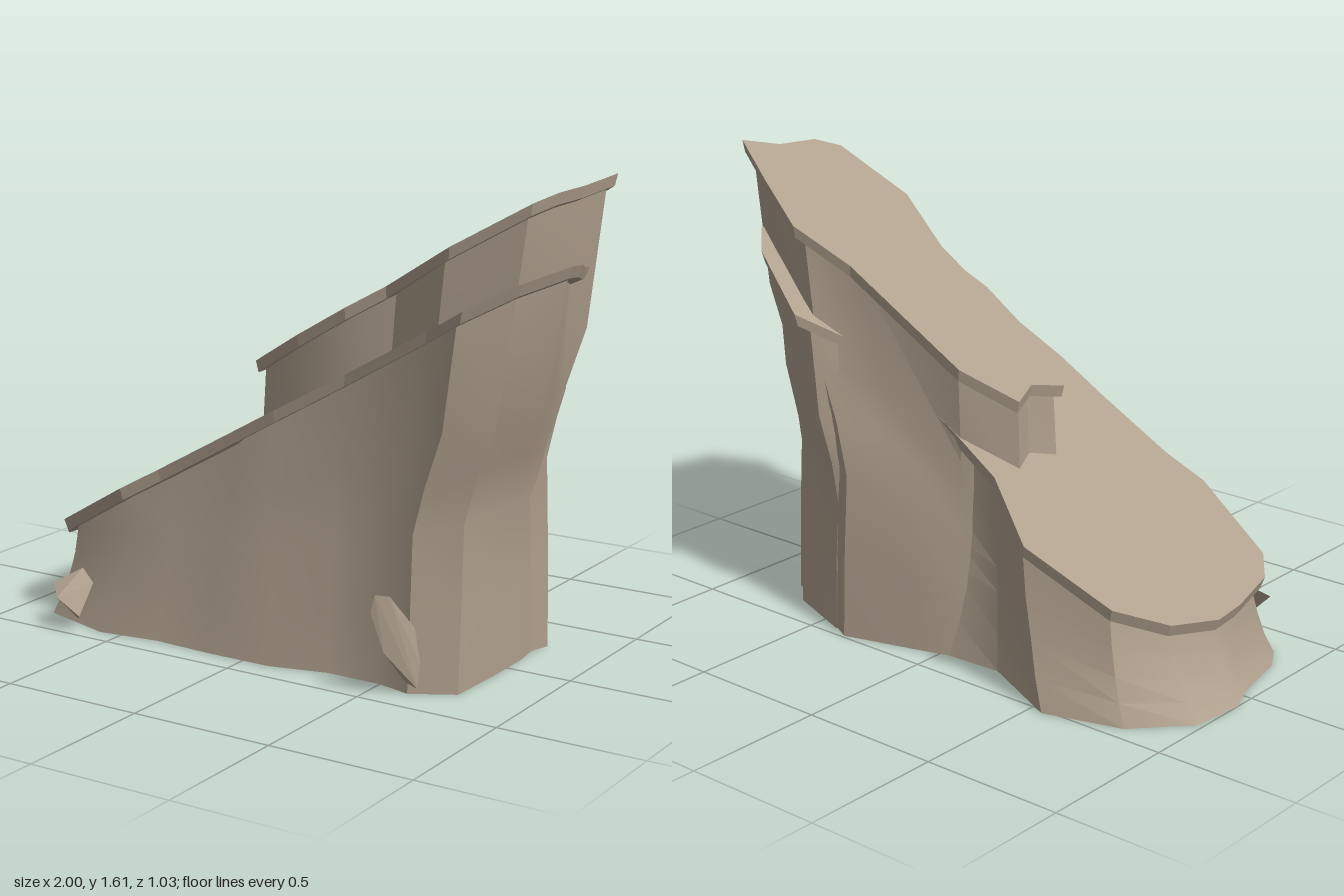
import * as THREE from 'three';
import { toCreasedNormals } from 'three/addons/utils/BufferGeometryUtils.js';
import { ConvexGeometry } from 'three/addons/geometries/ConvexGeometry.js';

// Each column: rim x, rim z, foot x, foot z (left end, back, right end, front)
const LOWER = [
  [-0.92, -0.08, -1.0, -0.08], [-0.87, -0.27, -0.98, -0.27], [-0.75, -0.42, -0.82, -0.44],
  [-0.46, -0.5, -0.55, -0.52], [-0.22, -0.36, -0.24, -0.37], [-0.03, -0.34, -0.03, -0.38],
  [0.2, -0.34, 0.14, -0.42], [0.38, -0.36, 0.26, -0.44], [0.55, -0.485, 0.42, -0.46],
  [0.82, -0.37, 0.68, -0.36], [0.91, -0.28, 0.745, -0.28], [0.92, -0.2, 0.75, -0.25],
  [0.97, -0.08, 0.77, -0.1], [1.0, 0.05, 0.77, 0.08], [0.96, 0.31, 0.76, 0.31],
  [0.81, 0.41, 0.62, 0.39], [0.66, 0.36, 0.5, 0.36], [0.35, 0.34, 0.3, 0.36],
  [0.1, 0.37, 0.1, 0.41], [-0.1, 0.37, -0.15, 0.41], [-0.36, 0.38, -0.36, 0.4],
  [-0.5, 0.41, -0.58, 0.43], [-0.8, 0.34, -0.85, 0.35], [-0.87, 0.25, -0.91, 0.25],
  [-0.91, 0.05, -0.95, 0.05],
];
const UPPER = [
  [-0.24, -0.26, -0.27, -0.26], [-0.07, -0.36, -0.1, -0.36], [0.4, -0.37, 0.1, -0.42],
  [0.6, -0.43, 0.35, -0.49], [0.8, -0.36, 0.6, -0.36], [0.98, -0.29, 0.78, -0.27],
  [0.93, -0.16, 0.75, -0.17], [0.92, 0, 0.7, 0], [0.87, 0.08, 0.65, 0.08],
  [0.61, 0.14, 0.45, 0.14], [0.32, 0.04, 0.25, 0.04], [0.18, 0.07, 0.1, 0.07],
  [-0.02, 0.05, -0.05, 0.05], [-0.2, -0.01, -0.24, -0.01], [-0.24, -0.03, -0.28, -0.03],
  [-0.2, -0.15, -0.24, -0.15],
];
const lowerTop = (x) => 0.28 + 0.5625 * (x + 0.92);
const upperTop = (x) => 0.91 + 0.574 * (x + 0.24);
const THICK = 0.04;

// Lean of the wall at each level: the low end flares, the tall end overhangs
const LEVELS = [0, 0.2, 0.42, 0.55, 0.7, 1];
const LEAN_LOW = [0, 0.35, 0.6, 0.72, 0.85, 1];
const LEAN_TALL = [0, 0, -0.02, 0.25, 0.68, 1];
const PINCH = [0, 0.012, 0.03, 0.025, 0.006, 0];

function centre(cols) {
  const xs = cols.map((c) => c[0]), zs = cols.map((c) => c[1]);
  return [(Math.min(...xs) + Math.max(...xs)) / 2, (Math.min(...zs) + Math.max(...zs)) / 2];
}

// Open rock wall rising to just under its sloping cap
function wall(cols, topAt, inset) {
  const [cx, cz] = centre(cols);
  const rows = LEVELS.map((t, k) => cols.map(([tx, tz, bx, bz]) => {
    const rx = tx - Math.sign(tx - cx) * Math.min(inset, Math.abs(tx - cx));
    const rz = tz - Math.sign(tz - cz) * Math.min(inset, Math.abs(tz - cz));
    const f = THREE.MathUtils.smoothstep(tx, -0.7, 0.7);
    const w = THREE.MathUtils.lerp(LEAN_LOW[k], LEAN_TALL[k], f);
    const z = THREE.MathUtils.lerp(bz, rz, w);
    return [
      THREE.MathUtils.lerp(bx, rx, w),
      t * (topAt(tx) - THICK * 0.7),
      z - Math.sign(z) * Math.min(PINCH[k], Math.abs(z)) * f,
    ];
  }));
  const pos = [];
  const n = cols.length;
  for (let k = 0; k < rows.length - 1; k++) {
    for (let i = 0; i < n; i++) {
      const j = (i + 1) % n;
      const a = rows[k][i], b = rows[k][j], c = rows[k + 1][j], d = rows[k + 1][i];
      pos.push(...a, ...c, ...b, ...a, ...d, ...c);
    }
  }
  const g = new THREE.BufferGeometry();
  g.setAttribute('position', new THREE.Float32BufferAttribute(pos, 3));
  return toCreasedNormals(g, 0.5);
}

// Sloping slab with its underside drawn in a little
function cap(cols, topAt) {
  const [cx, cz] = centre(cols);
  const shape = new THREE.Shape(cols.map((c) => new THREE.Vector2(c[0], -c[1])));
  const g = new THREE.ExtrudeGeometry(shape, { depth: THICK, bevelEnabled: false });
  g.rotateX(-Math.PI / 2);
  const p = g.attributes.position;
  for (let i = 0; i < p.count; i++) {
    const x = p.getX(i), y = p.getY(i), z = p.getZ(i);
    const s = y < THICK / 2 ? 0.985 : 1;
    p.setXYZ(i, cx + (x - cx) * s, topAt(x) - THICK + y, cz + (z - cz) * s);
  }
  g.computeVertexNormals();
  return g;
}

function stone(points) {
  return new ConvexGeometry(points.map((p) => new THREE.Vector3(...p)));
}

export function createModel() {
  const rock = new THREE.MeshStandardMaterial({ color: 0xb0a08e, side: THREE.DoubleSide });
  rock.name = 'rock';
  const model = new THREE.Group();
  model.name = 'slopingRock';
  const add = (name, geometry) => {
    const mesh = new THREE.Mesh(geometry, rock);
    mesh.name = name;
    model.add(mesh);
  };

  // Two tiers, each a wall with a tilted cap
  add('lowerWall', wall(LOWER, lowerTop, 0.035));
  add('lowerCap', cap(LOWER, lowerTop));
  add('upperWall', wall(UPPER, upperTop, 0.025));
  add('upperCap', cap(UPPER, upperTop));

  // Loose stones against the front
  add('pebble', stone([
    [-0.77, 0.15, 0.44], [-0.69, 0.2, 0.38], [-0.63, 0.16, 0.4],
    [-0.71, 0.12, 0.5], [-0.63, 0.06, 0.48], [-0.66, 0.04, 0.45],
  ]));
  add('shard', stone([
    [0.57, 0.35, 0.51], [0.6, 0.34, 0.47], [0.555, 0.29, 0.51], [0.58, 0.15, 0.47],
    [0.64, 0.22, 0.38], [0.65, 0.02, 0.38], [0.62, 0.04, 0.4], [0.655, 0.1, 0.37],
  ]));
  return model;
}
